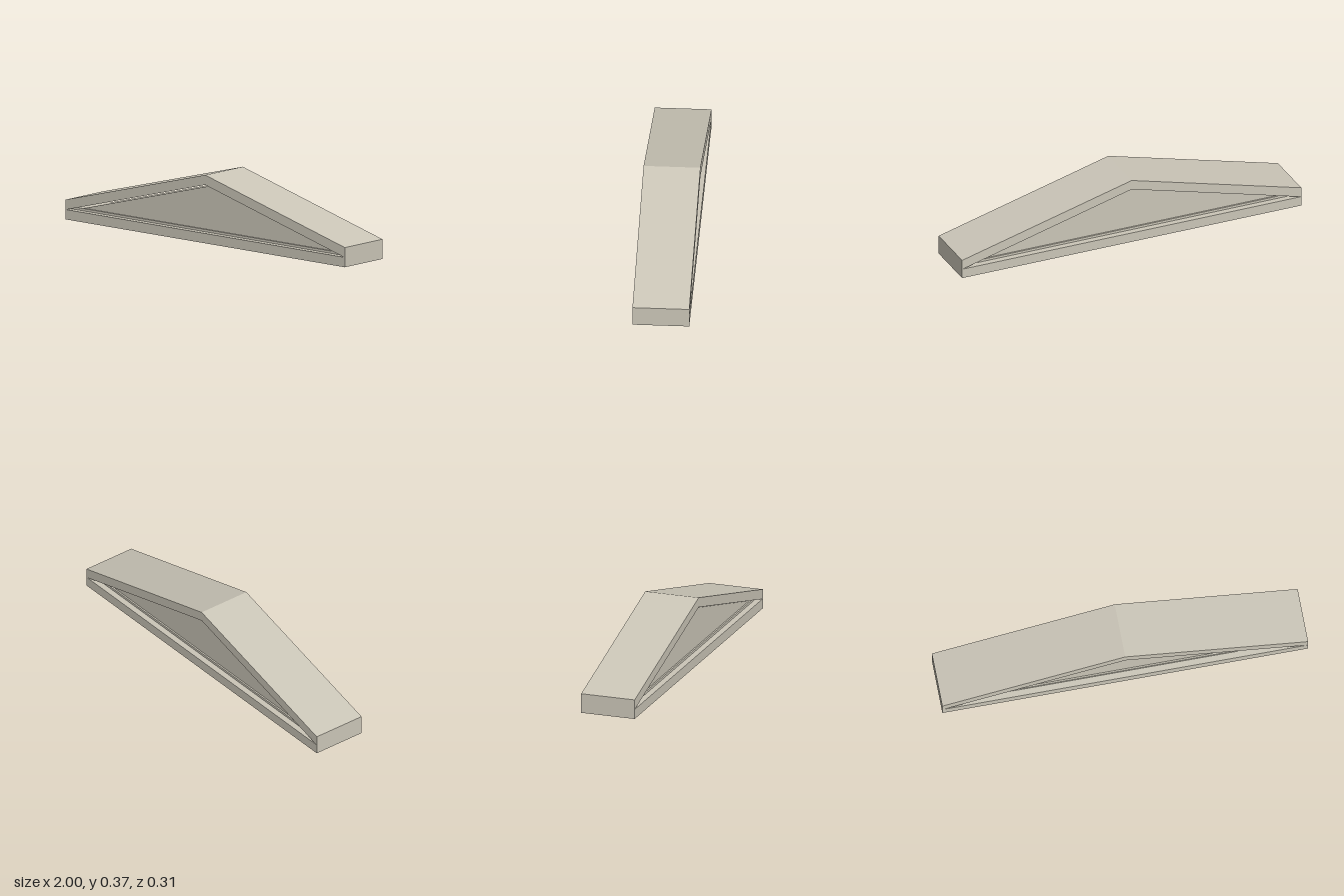
import * as THREE from 'three';

export function createModel() {
  const model = new THREE.Group();
  const stone = new THREE.MeshStandardMaterial({ color: 0xcac5b7 });
  stone.name = 'paleStone';

  // Extrudes an outline in the xy plane, centred on z = 0
  const slab = (name, points, depth, hole) => {
    const toVectors = (list) => list.map(([x, y]) => new THREE.Vector2(x, y));
    const shape = new THREE.Shape(toVectors(points));
    if (hole) shape.holes.push(new THREE.Path(toVectors(hole)));
    const geometry = new THREE.ExtrudeGeometry(shape, { depth, bevelEnabled: false });
    geometry.translate(0, 0, -depth / 2);
    const mesh = new THREE.Mesh(geometry, stone);
    mesh.name = name;
    model.add(mesh);
  };

  // Base beam and sloping cornices around a triangular opening
  slab('pedimentFrame',
    [[-1, 0], [1, 0], [1, 0.108], [0, 0.374], [-1, 0.108]], 0.306,
    [[-0.996, 0.054], [0, 0.32], [0.996, 0.054]]);

  // Low sill along the bottom of the opening
  slab('sill', [[-0.994, 0.054], [0.994, 0.054], [0.946, 0.067], [-0.946, 0.067]], 0.236);

  // Recessed triangular panel, with a narrow gap below the cornices
  slab('recessedPanel', [[-0.905, 0.067], [0.905, 0.067], [0, 0.308]], 0.218);

  return model;
}
